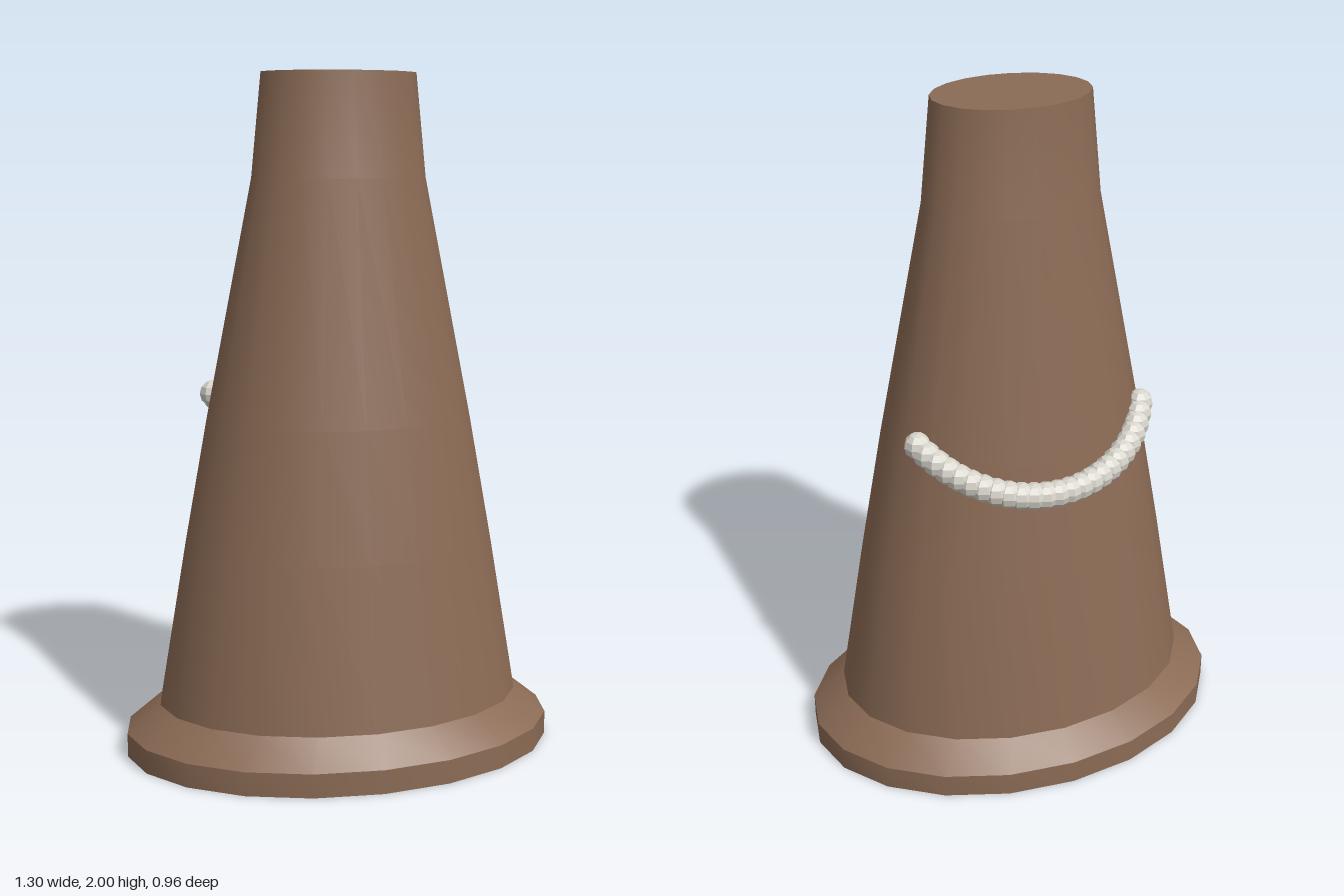
import * as THREE from 'three';

const SIDES = 20;

// Elliptical band between rings of [halfWidth, y, halfDepth], smooth around its circumference
function ellipticalBand(rings) {
  const geometry = new THREE.LatheGeometry(rings.map(([w, y]) => new THREE.Vector2(w, y)), SIDES);
  const pos = geometry.attributes.position;
  for (let i = 0; i < pos.count; i++) {
    const [w, , d] = rings[i % rings.length];
    pos.setZ(i, pos.getZ(i) * d / w);
  }
  geometry.computeVertexNormals();
  // Share normals across the seam
  const n = geometry.attributes.normal;
  const last = SIDES * rings.length;
  for (let j = 0; j < rings.length; j++) {
    const v = new THREE.Vector3().fromBufferAttribute(n, j)
      .add(new THREE.Vector3().fromBufferAttribute(n, last + j)).normalize();
    n.setXYZ(j, v.x, v.y, v.z);
    n.setXYZ(last + j, v.x, v.y, v.z);
  }
  return geometry;
}

// Flat elliptical lid facing up or down
function ellipticalCap([w, y, d], up) {
  const geometry = new THREE.CircleGeometry(1, SIDES);
  geometry.rotateX(up ? -Math.PI / 2 : Math.PI / 2);
  geometry.scale(w, 1, d);
  geometry.translate(0, y, 0);
  return geometry;
}

export function createModel() {
  const model = new THREE.Group();
  model.name = 'beadedPedestal';
  const brown = new THREE.MeshStandardMaterial({ color: 0x8b6b55 });
  const pearl = new THREE.MeshStandardMaterial({ color: 0xd8d5cc, flatShading: true });

  const add = (parent, name, geometry, material) => {
    const mesh = new THREE.Mesh(geometry, material);
    mesh.name = name;
    parent.add(mesh);
    return mesh;
  };

  // Base: upright rim, sloping shoulder and underside
  const base = new THREE.Group();
  base.name = 'base';
  const foot = [0.65, 0, 0.48];
  const rim = [0.65, 0.07, 0.48];
  const shoulder = [0.55, 0.15, 0.41];
  add(base, 'baseRim', ellipticalBand([foot, rim]), brown);
  add(base, 'baseShoulder', ellipticalBand([rim, shoulder]), brown);
  add(base, 'baseUnderside', ellipticalCap(foot, false), brown);
  model.add(base);

  // Tapering body and its flat top
  const body = new THREE.Group();
  body.name = 'body';
  const top = [0.23, 2, 0.17];
  const profile = [shoulder, [0.47, 0.62, 0.345], [0.4, 1, 0.292], [0.26, 1.7, 0.19], top];
  add(body, 'bodyWall', ellipticalBand(profile), brown);
  add(body, 'bodyTop', ellipticalCap(top, true), brown);
  model.add(body);

  // String of beads draped around the back, dipping towards the middle
  const beads = new THREE.Group();
  beads.name = 'beadString';
  const beadGeometry = new THREE.SphereGeometry(0.04, 8, 6);
  const count = 25;
  const reach = THREE.MathUtils.degToRad(64);
  for (let i = 0; i < count; i++) {
    const a = THREE.MathUtils.lerp(-reach, reach, i / (count - 1));
    const z = -0.335 * Math.cos(a);
    const bead = add(beads, `bead${i + 1}`, beadGeometry, pearl);
    bead.position.set(0.39 * Math.sin(a), 0.925 + (z + 0.335) * 0.71, z);
  }
  model.add(beads);

  return model;
}
